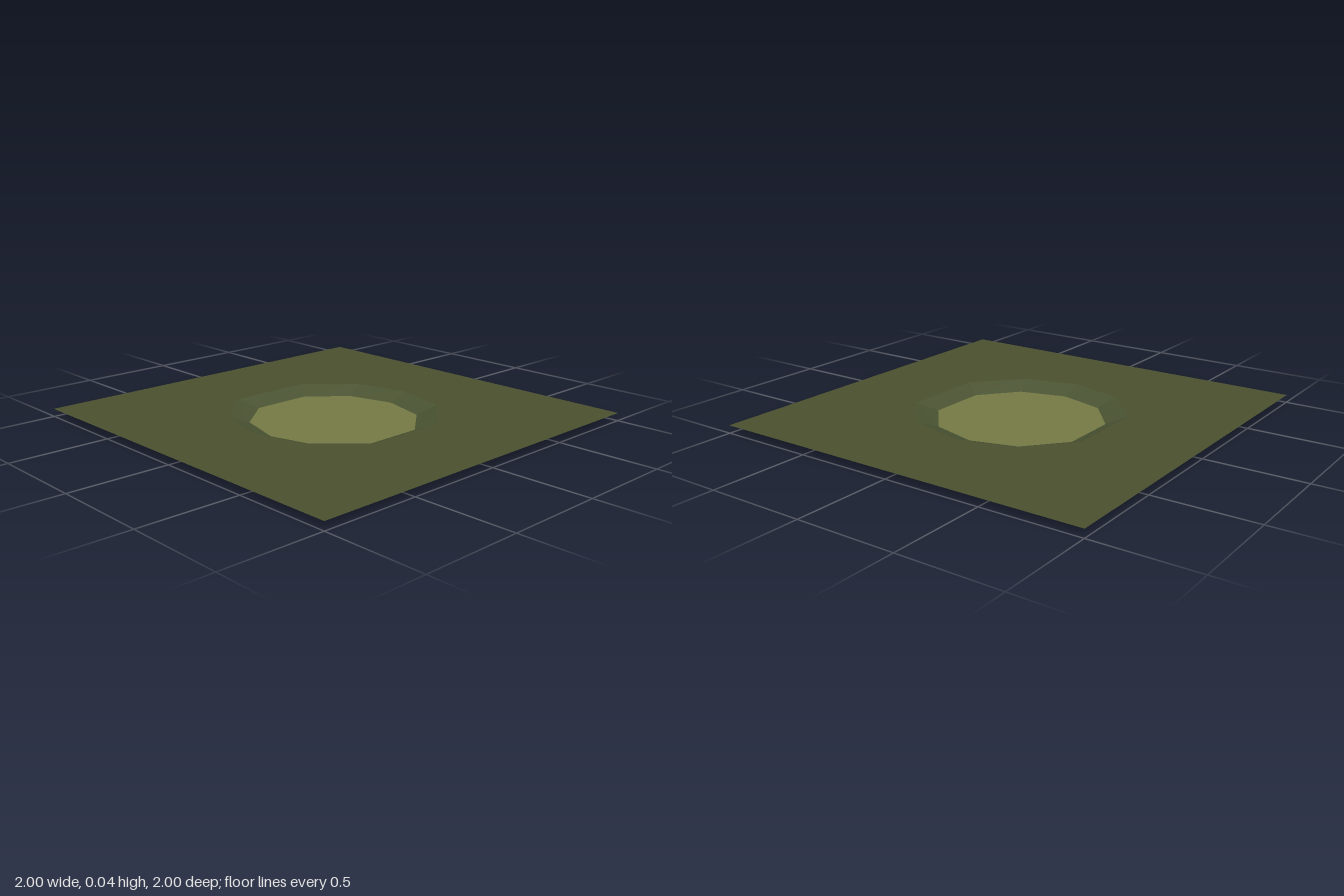
import * as THREE from 'three';

const RIM_Y = 0.04;

// Ten-sided outline mirrored from one quarter, as [x, z] points
function outline(tipZ, [x1, z1], [x2, z2]) {
  return [
    [0, tipZ], [x1, z1], [x2, z2], [x2, -z2], [x1, -z1],
    [0, -tipZ], [-x1, -z1], [-x2, -z2], [-x2, z2], [-x1, z1],
  ];
}

const toVectors = (points) => points.map(([x, z]) => new THREE.Vector2(x, -z));

function material(name, color) {
  const m = new THREE.MeshStandardMaterial({ color, side: THREE.DoubleSide, flatShading: true });
  m.name = name;
  return m;
}

// Flat horizontal sheet facing up
function sheet(name, shape, y, mat) {
  const geometry = new THREE.ShapeGeometry(shape).rotateX(-Math.PI / 2).translate(0, y, 0);
  const mesh = new THREE.Mesh(geometry, mat);
  mesh.name = name;
  return mesh;
}

export function createModel() {
  const group = new THREE.Group();
  group.name = 'groundWithPit';

  const grass = material('grass green', 0x4a502e);
  const bank = material('bank green', 0x4a5332);
  const sand = material('dry earth', 0x757844);

  const rim = outline(0.525, [0.285, 0.45], [0.497, 0.22]);
  const base = outline(0.415, [0.243, 0.348], [0.404, 0.155]);

  // Square ground with the pit cut out
  const square = new THREE.Shape(toVectors([[-1, 1], [1, 1], [1, -1], [-1, -1]]));
  square.holes.push(new THREE.Path(toVectors(rim)));
  group.add(sheet('ground', square, RIM_Y, grass));

  // Pit floor
  group.add(sheet('pitFloor', new THREE.Shape(toVectors(base)), 0, sand));

  // Sloping banks joining rim and floor, facing up and inward
  const positions = [];
  rim.forEach(([ax, az], i) => {
    const j = (i + 1) % rim.length;
    const a = [ax, RIM_Y, az];
    const b = [rim[j][0], RIM_Y, rim[j][1]];
    const c = [base[j][0], 0, base[j][1]];
    const d = [base[i][0], 0, base[i][1]];
    positions.push(...a, ...b, ...c, ...a, ...c, ...d);
  });
  const banks = new THREE.BufferGeometry();
  banks.setAttribute('position', new THREE.Float32BufferAttribute(positions, 3));
  banks.computeVertexNormals();
  const wall = new THREE.Mesh(banks, bank);
  wall.name = 'pitBanks';
  group.add(wall);

  return group;
}
